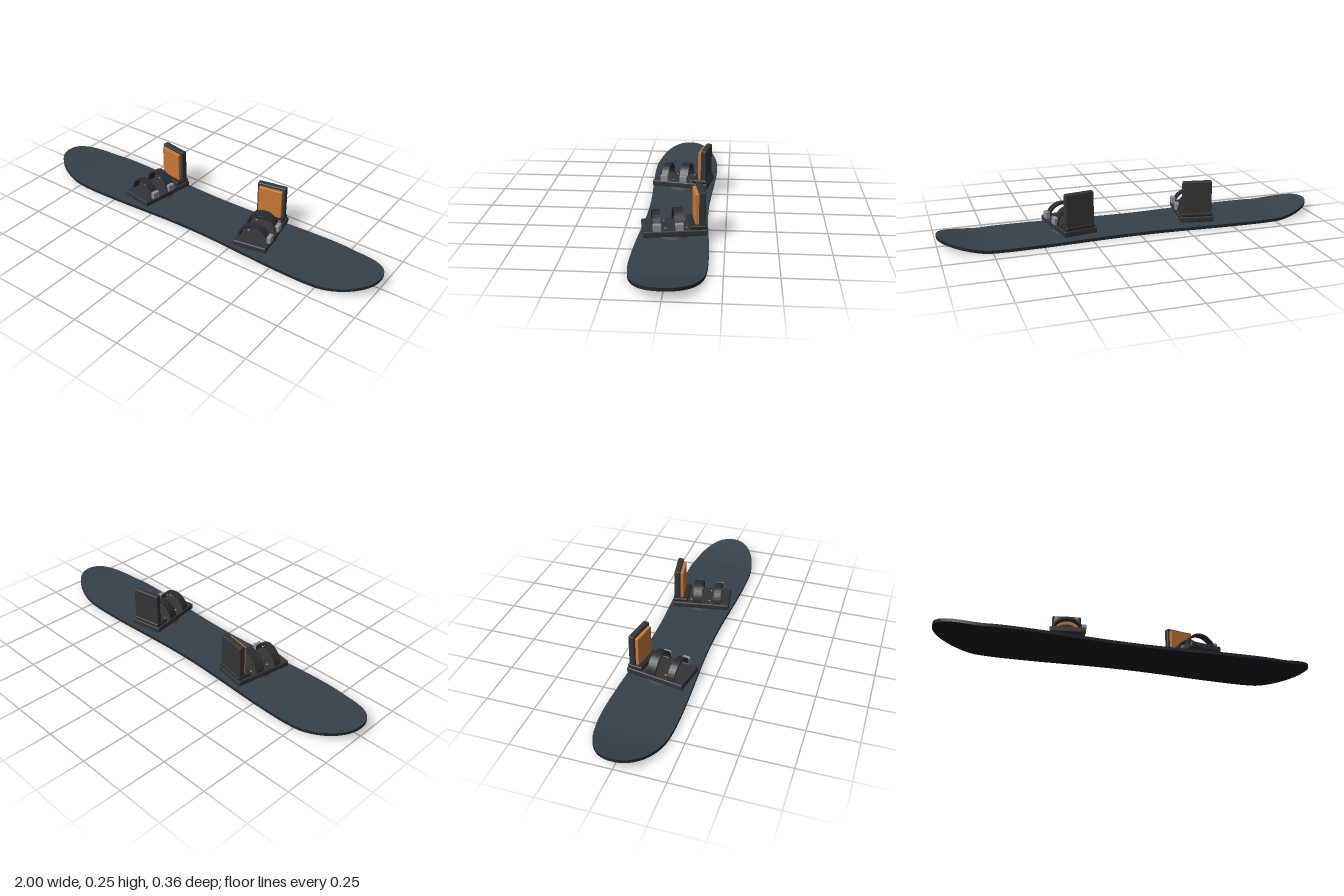
import * as THREE from 'three';
import { mergeGeometries, toCreasedNormals } from 'three/addons/utils/BufferGeometryUtils.js';
import { RoundedBoxGeometry } from 'three/addons/geometries/RoundedBoxGeometry.js';

const mat = (color) => new THREE.MeshStandardMaterial({ color });
const deck = mat(0x36414a), base = mat(0x15191c), edge = mat(0x24282b);
const plastic = mat(0x333537), darkPlastic = mat(0x2a2c2e), foam = mat(0xc87838);
const metal = mat(0x8a9094), disc = mat(0x505356);

function add(parent, name, geometry, material, x = 0, y = 0, z = 0) {
  const mesh = new THREE.Mesh(geometry, material);
  mesh.name = name;
  mesh.position.set(x, y, z);
  parent.add(mesh);
  return mesh;
}

const rbox = (w, h, d, r = 0.005) => new RoundedBoxGeometry(w, h, d, 2, r);

// Board outline: waisted sidecut with rounded ends, and an upturned nose and tail
const THICK = 0.016;
function halfWidth(x) {
  const a = Math.abs(x);
  if (a < 0.65) return 0.155 + 0.0125 * (1 - Math.cos((Math.PI * a) / 0.65));
  const t = Math.min(1, (a - 0.65) / 0.35);
  return 0.18 * Math.pow(Math.max(0, 1 - Math.pow(t, 2.2)), 1 / 2.2);
}
const rise = (x) => 0.047 * Math.pow(Math.max(0, Math.abs(x) - 0.77) / 0.23, 1.4);

// Ribbon between two lines running along the board, facing left of the a-to-b direction
function ribbon(a, b) {
  const pos = [], idx = [], N = 96;
  for (let i = 0; i <= N; i++) {
    const x = Math.sin((Math.PI / 2) * ((2 * i) / N - 1));
    pos.push(x, ...a(x), x, ...b(x));
    if (i < N) {
      const k = 2 * i;
      idx.push(k, k + 1, k + 2, k + 1, k + 3, k + 2);
    }
  }
  const g = new THREE.BufferGeometry();
  g.setAttribute('position', new THREE.Float32BufferAttribute(pos, 3));
  g.setIndex(idx);
  g.computeVertexNormals();
  return g;
}

function makeBoard() {
  const board = new THREE.Group();
  board.name = 'board';
  const line = (top, side) => (x) => [rise(x) + (top ? THICK : 0), side * halfWidth(x)];
  add(board, 'topSheet', ribbon(line(true, -1), line(true, 1)), deck);
  add(board, 'baseSheet', ribbon(line(false, 1), line(false, -1)), base);
  add(board, 'edges', mergeGeometries([
    ribbon(line(true, 1), line(false, 1)),
    ribbon(line(false, -1), line(true, -1)),
  ]), edge);
  return board;
}

// Arched strap band: half an elliptical ring, extruded along z
function strapGeometry(halfSpan, height, width) {
  const t = 0.009;
  const shape = new THREE.Shape();
  shape.absellipse(0, 0, halfSpan, height, 0, Math.PI, false);
  shape.lineTo(-halfSpan + t, 0);
  shape.absellipse(0, 0, halfSpan - t, height - t, Math.PI, 0, true);
  const g = new THREE.ExtrudeGeometry(shape, { depth: width, bevelEnabled: false, curveSegments: 24 });
  g.translate(0, 0, -width / 2);
  return toCreasedNormals(g, 0.6);
}

function makeBinding(name, x, angle) {
  const b = new THREE.Group();
  b.name = name;
  b.position.x = x;
  b.rotation.y = angle;

  // Mounting disc and baseplate with heel pad
  add(b, 'mountingDisc', new THREE.CylinderGeometry(0.08, 0.084, 0.02, 32), disc, 0, 0.025, 0);
  add(b, 'baseplate', rbox(0.175, 0.03, 0.308, 0.006), plastic, 0, 0.049, 0);
  add(b, 'heelPad', rbox(0.16, 0.02, 0.08, 0.007), darkPlastic, 0, 0.073, -0.112);

  // Highback with its padding
  add(b, 'highback', rbox(0.152, 0.174, 0.031, 0.006), plastic, 0, 0.163, -0.13);
  add(b, 'highbackPad', rbox(0.126, 0.155, 0.021, 0.003), foam, 0, 0.158, -0.108);

  // Toe and ankle straps, each with a buckle and ladder on the same side
  const straps = [
    { part: 'toe', z: 0.088, w: 0.037, h: 0.08 },
    { part: 'ankle', z: -0.019, w: 0.046, h: 0.087 },
  ];
  for (const { part, z, w, h } of straps) {
    add(b, part + 'Strap', strapGeometry(0.082, h, w), darkPlastic, 0, 0.06, z);
    add(b, part + 'Buckle', rbox(0.022, 0.037, 0.04, 0.003), metal, 0.083, 0.083, z);
  }

  // Screws through the baseplate
  const screw = new THREE.CylinderGeometry(0.005, 0.005, 0.004, 12);
  for (const sx of [-1, 1])
    for (const z of [-0.055, 0.045])
      add(b, 'screw', screw, metal, sx * 0.05, 0.065, z);
  return b;
}

export function createModel() {
  const model = new THREE.Group();
  model.name = 'snowboard';
  const tilt = THREE.MathUtils.degToRad(10);
  model.add(makeBoard());
  model.add(makeBinding('rightBinding', -0.336, -tilt));
  model.add(makeBinding('leftBinding', 0.336, tilt));
  return model;
}
